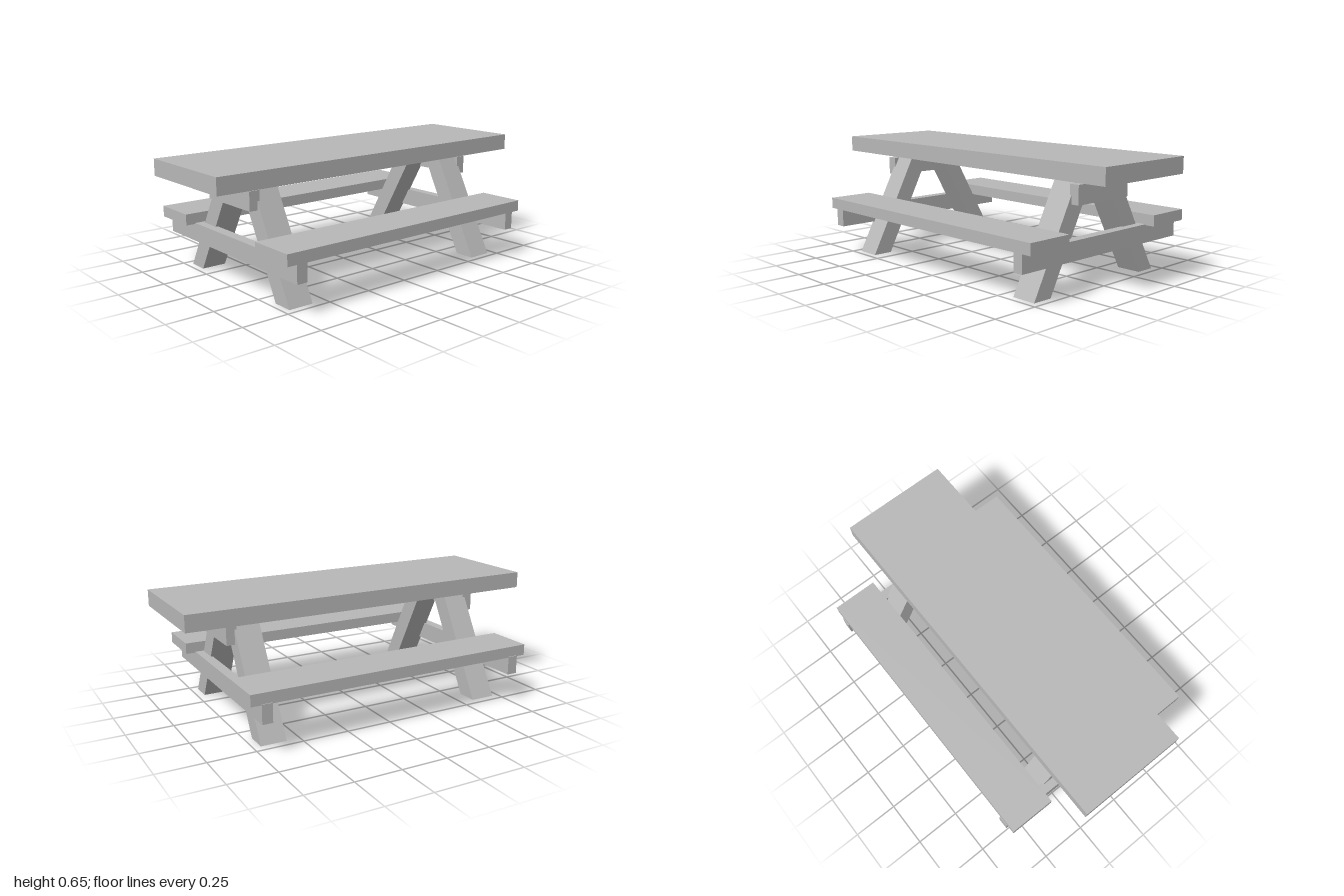
import * as THREE from 'three';

export function createModel() {
  const group = new THREE.Group();
  group.name = 'picnicTable';
  const grey = new THREE.MeshStandardMaterial({ color: 0xb8b8b8 });
  grey.name = 'plain grey';

  // Box given by its extents on each axis
  function plank(name, [x0, x1], [y0, y1], [z0, z1]) {
    const mesh = new THREE.Mesh(new THREE.BoxGeometry(x1 - x0, y1 - y0, z1 - z0), grey);
    mesh.position.set((x0 + x1) / 2, (y0 + y1) / 2, (z0 + z1) / 2);
    mesh.name = name;
    group.add(mesh);
  }

  // Slanted leg: a parallelogram in z and y, extruded along x
  const legTop = 0.567;
  function leg(name, [x0, x1], [foot0, foot1], [head0, head1]) {
    const shape = new THREE.Shape([
      new THREE.Vector2(-foot0, 0),
      new THREE.Vector2(-foot1, 0),
      new THREE.Vector2(-head1, legTop),
      new THREE.Vector2(-head0, legTop),
    ]);
    const geometry = new THREE.ExtrudeGeometry(shape, { depth: x1 - x0, bevelEnabled: false });
    geometry.rotateY(Math.PI / 2);
    const mesh = new THREE.Mesh(geometry, grey);
    mesh.position.x = x0;
    mesh.name = name;
    group.add(mesh);
  }

  // Table top and the two benches
  plank('tableTop', [-1, 1], [0.567, 0.655], [-0.285, 0.319]);
  plank('frontBench', [-0.813, 0.808], [0.265, 0.325], [0.333, 0.59]);
  plank('backBench', [-0.813, 0.808], [0.265, 0.325], [-0.585, -0.329]);

  // One trestle at each end: two legs and two cross beams
  const ends = [
    { side: 'left', legX: [0.572, 0.71], beamX: [0.7, 0.755] },
    { side: 'right', legX: [-0.715, -0.577], beamX: [-0.76, -0.702] },
  ];
  for (const { side, legX, beamX } of ends) {
    leg(side + 'FrontLeg', legX, [0.35, 0.463], [0.055, 0.168]);
    leg(side + 'BackLeg', legX, [-0.456, -0.345], [-0.136, -0.024]);
    plank(side + 'BenchBeam', beamX, [0.17, 0.27], [-0.59, 0.59]);
    plank(side + 'TopBeam', beamX, [0.437, 0.537], [-0.165, 0.212]);
  }
  return group;
}
